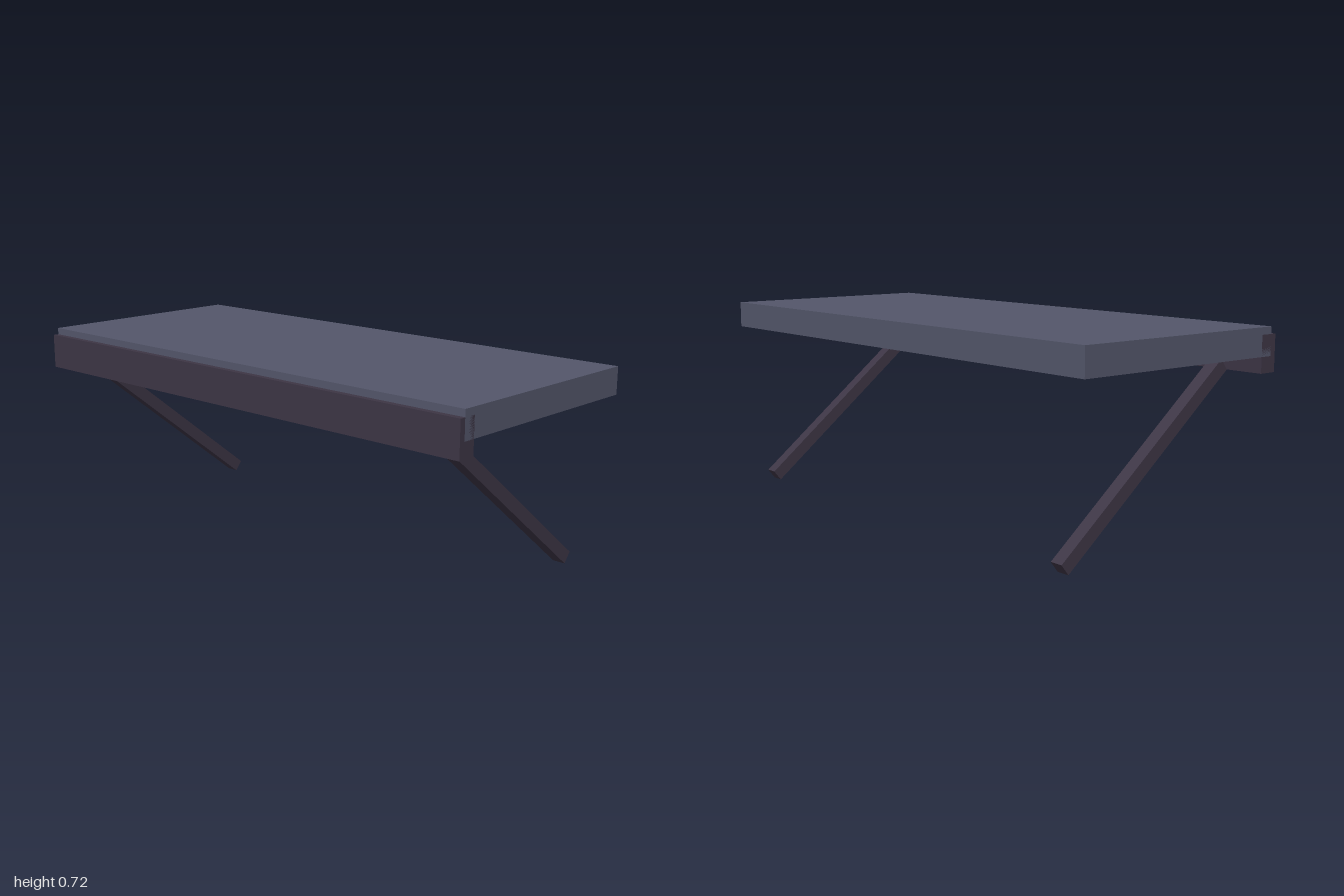
import * as THREE from 'three';

export function createModel() {
  const model = new THREE.Group();
  model.name = 'awning';

  const slate = new THREE.MeshStandardMaterial({ color: 0x53566a });
  slate.name = 'slate panel';
  const darkWood = new THREE.MeshStandardMaterial({ color: 0x3d3545 });
  darkWood.name = 'dark wood';

  const addBox = (name, size, position, material) => {
    const mesh = new THREE.Mesh(new THREE.BoxGeometry(...size), material);
    mesh.name = name;
    mesh.position.set(...position);
    model.add(mesh);
    return mesh;
  };

  // Flat panel and the beam along its front edge
  addBox('panel', [2, 0.098, 0.852], [0, 0.671, -0.011], slate);
  addBox('frontBeam', [2, 0.128, 0.068], [0, 0.631, 0.403], darkWood);

  // Slanted struts running down and back from below the beam
  for (const side of [-1, 1]) {
    const strut = addBox(side > 0 ? 'leftStrut' : 'rightStrut',
      [0.048, 0.047, 0.918], [side * 0.852, 0.304, -0.027], darkWood);
    strut.rotation.x = -0.67;
  }

  return model;
}
